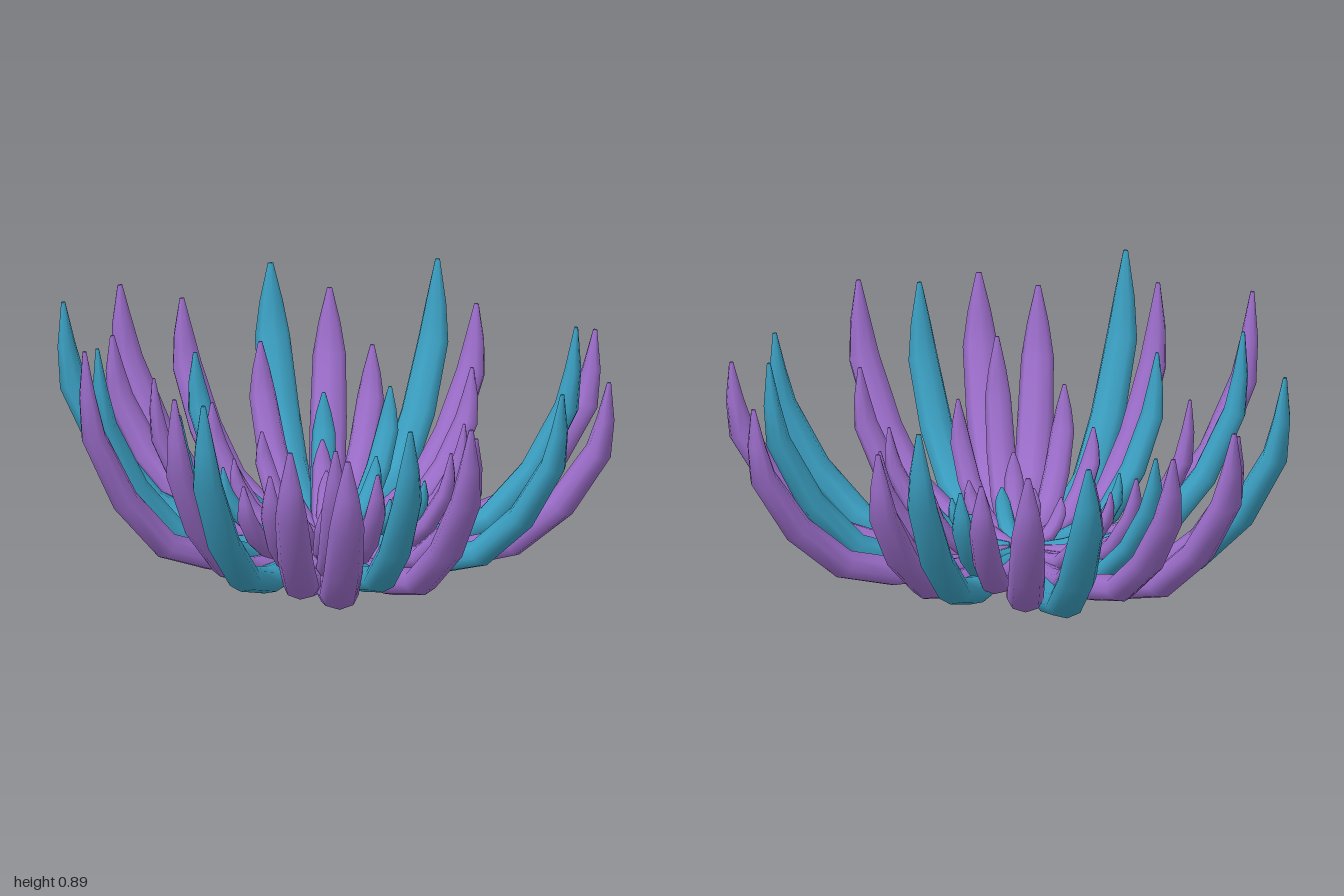
import * as THREE from 'three';

// Flower centre in plan
const CX = 0.015, CZ = 0.04;

// Petal tips: x, z, height
const purpleTips = [
  [0.30, -0.93, 0.75], [0.74, -0.68, 0.74], [0.67, -0.16, 0.62], [0.98, 0.08, 0.80],
  [0.88, 0.54, 0.75], [0.67, 0.64, 0.74], [0.22, 0.82, 0.84], [-0.20, 0.91, 0.91],
  [-0.39, 0.48, 0.66], [-0.80, 0.37, 0.67], [-0.98, 0.21, 0.77], [-0.90, 0.00, 0.70],
  [-0.65, -0.16, 0.58], [-0.71, -0.50, 0.69], [-0.42, -0.48, 0.57], [-0.24, -0.80, 0.71],
  [-0.01, -0.62, 0.58],
  [0.55, 0.36, 0.65], [0.48, 0.13, 0.49], [0.32, 0.48, 0.51], [0.13, 0.46, 0.41],
  [0.24, -0.41, 0.49], [-0.49, 0.16, 0.47], [-0.37, 0.03, 0.37], [-0.27, 0.22, 0.34],
  [0.01, 0.22, 0.24], [0.28, 0.22, 0.33], [0.43, -0.22, 0.48], [-0.27, -0.16, 0.33],
  [0.11, -0.27, 0.33], [0.14, 0.20, 0.24], [0.28, 0.02, 0.27], [-0.16, -0.10, 0.26],
];
const tealTips = [
  [0.44, -0.75, 0.84], [0.81, -0.43, 0.77], [0.85, 0.25, 0.79], [0.44, 0.85, 0.89],
  [0.01, 0.65, 0.68], [-0.35, 0.75, 0.84], [-0.80, 0.58, 0.84], [-0.65, 0.12, 0.60],
  [-0.90, -0.38, 0.75], [-0.42, -0.76, 0.83],
  [-0.24, -0.43, 0.48], [-0.39, -0.25, 0.45], [-0.07, -0.25, 0.31], [0.34, -0.17, 0.36],
  [-0.18, 0.33, 0.36], [0.22, 0.12, 0.24], [0.20, -0.12, 0.26],
];

// Petal stations from base to tip: outward fraction, upward fraction, girth
const stations = [
  [0, 0, 0], [0, 0, 0.62], [0.16, 0, 0.82], [0.36, 0.015, 0.97], [0.58, 0.09, 1],
  [0.79, 0.315, 1], [0.95, 0.62, 0.9], [0.98, 0.8, 0.6], [0.995, 1, 0.14], [0.995, 1, 0],
];
const SIDES = 8;

// A curved, pointed petal swept outward and up to its tip
function petalGeometry(x, z, height) {
  const R = Math.hypot(x - CX, z - CZ);
  const dx = (x - CX) / R, dz = (z - CZ) / R;
  const r0 = 0.03 + 0.155 * R * R, y0 = 0.065 + 0.04 * (1 - R);
  const width = 0.021 + 0.048 * R, thick = width * 0.76;
  const path = stations.map(([u, v]) => new THREE.Vector2(r0 + u * (R - r0), y0 + v * (height - y0)));
  const pos = [], index = [];
  path.forEach((p, i) => {
    const t = path[Math.min(i + 1, path.length - 1)].clone().sub(path[Math.max(i - 1, 0)]).normalize();
    const girth = stations[i][2];
    for (let j = 0; j < SIDES; j++) {
      const a = (j / SIDES) * Math.PI * 2;
      const s = Math.cos(a) * width * girth, n = Math.sin(a) * thick * girth;
      const r = p.x - t.y * n;
      pos.push(CX + dx * r + dz * s, p.y + t.x * n, CZ + dz * r - dx * s);
      if (i < path.length - 1) {
        const k = (j + 1) % SIDES, b = i * SIDES, c = b + SIDES;
        index.push(b + j, b + k, c + k, b + j, c + k, c + j);
      }
    }
  });
  const g = new THREE.BufferGeometry();
  g.setAttribute('position', new THREE.Float32BufferAttribute(pos, 3));
  g.setIndex(index);
  g.computeVertexNormals();
  return g;
}

export function createModel() {
  const model = new THREE.Group();
  model.name = 'flower';
  const addPetals = (name, tips, color) => {
    const group = new THREE.Group();
    group.name = name;
    const material = new THREE.MeshStandardMaterial({ color });
    for (const [x, z, h] of tips) {
      const petal = new THREE.Mesh(petalGeometry(x, z, h), material);
      petal.name = 'petal';
      group.add(petal);
    }
    model.add(group);
  };
  addPetals('purplePetals', purpleTips, 0x9a6cc8);
  addPetals('tealPetals', tealTips, 0x3a9dbf);

  // Rest the lowest petal just above the ground
  const low = new THREE.Box3().setFromObject(model).min.y;
  model.children.forEach((g) => { g.position.y = 0.005 - low; });
  return model;
}
